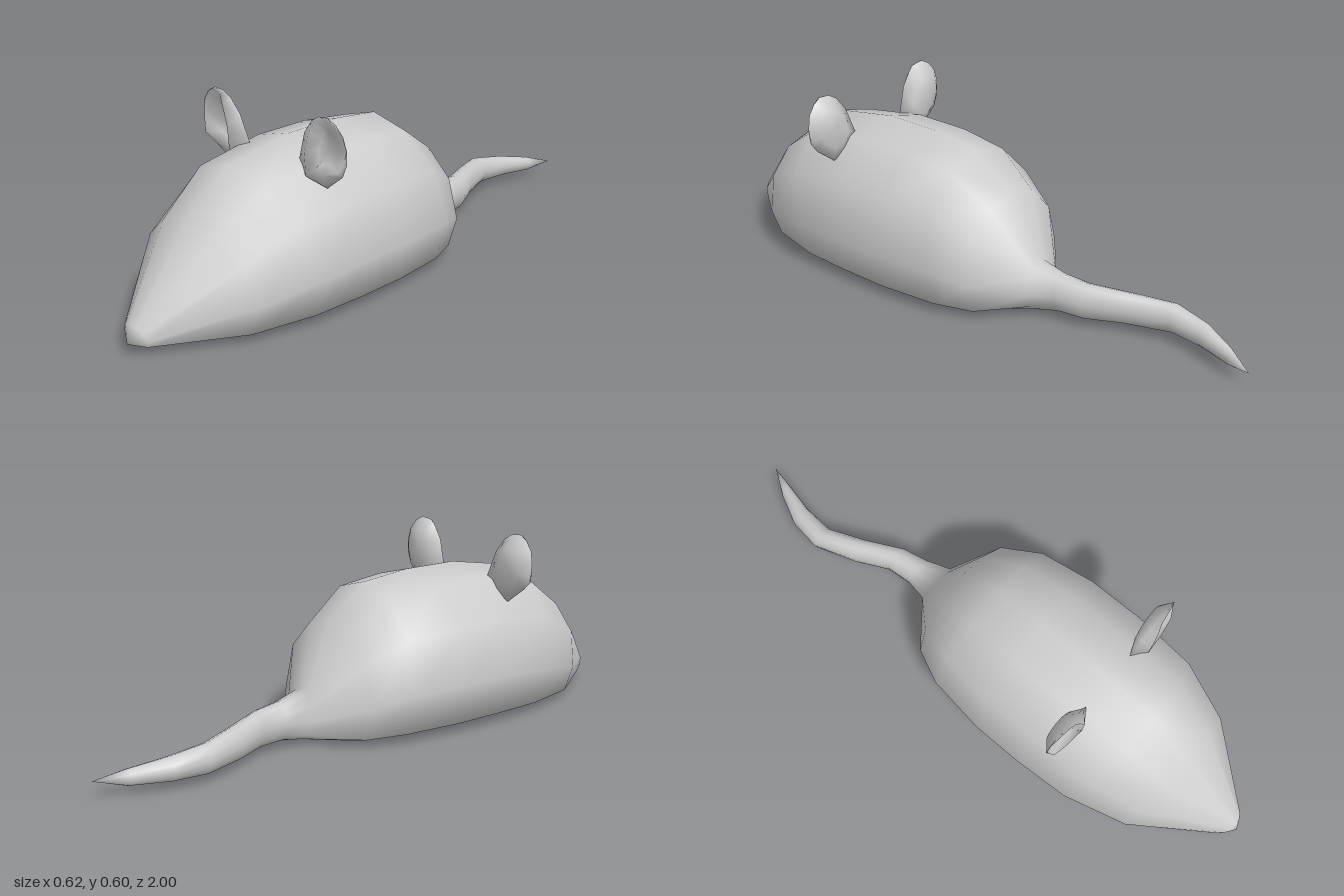
import * as THREE from 'three';
import { mergeVertices } from 'three/addons/utils/BufferGeometryUtils.js';

const grey = new THREE.MeshStandardMaterial({ color: 0xcccccc, side: THREE.DoubleSide });
const lerp = THREE.MathUtils.lerp;

// Skin a list of closed rings (arrays of [x, y, z]) with smooth normals
function loft(rings, flip = false) {
  const n = rings[0].length, index = [];
  for (let i = 0; i < rings.length - 1; i++) {
    for (let j = 0; j < n; j++) {
      const a = i * n + j, b = i * n + (j + 1) % n, c = a + n, d = b + n;
      index.push(...(flip ? [a, c, b, b, c, d] : [a, b, c, b, d, c]));
    }
  }
  let geo = new THREE.BufferGeometry();
  geo.setAttribute('position', new THREE.Float32BufferAttribute(rings.flat(2), 3));
  geo.setIndex(index);
  geo = mergeVertices(geo, 1e-5);
  geo.computeVertexNormals();
  return geo;
}

// Half of the body section, top to bottom: x as part of half width, y as part of height
const half = [[0, 1], [0.45, 0.925], [0.84, 0.69], [1, 0.345], [0.85, 0.07], [0.49, 0.01], [0, 0]];
const section = [...half, ...half.slice(1, -1).reverse().map(([x, y]) => [-x, y])];

// One section; round = 1 turns it into an ellipse, and the ring may lean (zTop, zSide)
function bodyRing([zTop, zSide, top, bottom, w, x = 0, round = 0]) {
  return section.map(([sx, sy], j) => {
    const a = j / section.length * Math.PI * 2;
    const px = lerp(sx, Math.sin(a), round);
    const py = lerp(sy, 0.5 + Math.cos(a) / 2, round);
    const lean = Math.max(0, (sy - 0.345) / 0.655);
    return [x + px * w, lerp(bottom, top, py), lerp(zSide, zTop, lean)];
  });
}

// Nose to rump, then on into the curved tail
const stations = [
  [0.998, 0.998, 0.035, 0.035, 0],
  [0.985, 0.96, 0.09, 0.021, 0.05],
  [0.77, 0.72, 0.335, 0.006, 0.235],
  [0.61, 0.52, 0.453, 0.003, 0.297],
  [0.37, 0.34, 0.493, 0.002, 0.309],
  [0.17, 0.17, 0.493, 0.002, 0.308],
  [0, -0.03, 0.475, 0.002, 0.28],
  [-0.15, -0.15, 0.37, 0.004, 0.222],
  [-0.25, -0.28, 0.172, 0.015, 0.068, 0, 0.5],
  [-0.34, -0.35, 0.15, 0.025, 0.048, -0.008, 1],
  [-0.43, -0.44, 0.143, 0.025, 0.042, -0.02, 1],
  [-0.56, -0.55, 0.131, 0.026, 0.04, -0.075, 1],
  [-0.68, -0.69, 0.12, 0.027, 0.038, -0.123, 1],
  [-0.8, -0.8, 0.1, 0.027, 0.035, -0.11, 1],
  [-0.91, -0.91, 0.078, 0.028, 0.021, -0.07, 1],
  [-1, -1, 0.05, 0.05, 0, -0.03, 1],
];

// Ear outline and the edge of its opening
const outline = [[0.105, 0.455], [0.135, 0.54], [0.17, 0.585], [0.2, 0.602], [0.235, 0.605], [0.265, 0.59],
  [0.29, 0.56], [0.3, 0.52], [0.295, 0.475], [0.275, 0.435], [0.21, 0.385], [0.15, 0.4]];
const rim = [[0.162, 0.42], [0.162, 0.5], [0.182, 0.56], [0.2, 0.593], [0.235, 0.602], [0.262, 0.587],
  [0.288, 0.559], [0.299, 0.515], [0.294, 0.488], [0.28, 0.455], [0.225, 0.437], [0.165, 0.42]];
const rimZ = [0.462, 0.468, 0.466, 0.46, 0.455, 0.45, 0.442, 0.438, 0.442, 0.452, 0.46, 0.462];

function ear(side) {
  const shrink = (pts, k, z) => pts.map(([x, y]) => [lerp(0.22, x, k), lerp(0.5, y, k), z]);
  const rings = [
    shrink(rim, 0, 0.428),
    shrink(rim, 0.6, 0.432),
    rim.map(([x, y], j) => [x, y, rimZ[j]]),
    outline.map(([x, y]) => [x, y, 0.43 + (y - 0.45) * 0.1]),
    shrink(outline, 0.6, 0.41),
    shrink(outline, 0, 0.405),
  ].map(r => r.map(([x, y, z]) => [x * side, y, z]));
  const mesh = new THREE.Mesh(loft(rings, side < 0), grey);
  mesh.name = side > 0 ? 'leftEar' : 'rightEar';
  return mesh;
}

export function createModel() {
  const model = new THREE.Group();
  model.name = 'mouse';
  const body = new THREE.Mesh(loft(stations.map(bodyRing)), grey);
  body.name = 'bodyAndTail';
  model.add(body, ear(1), ear(-1));
  return model;
}
